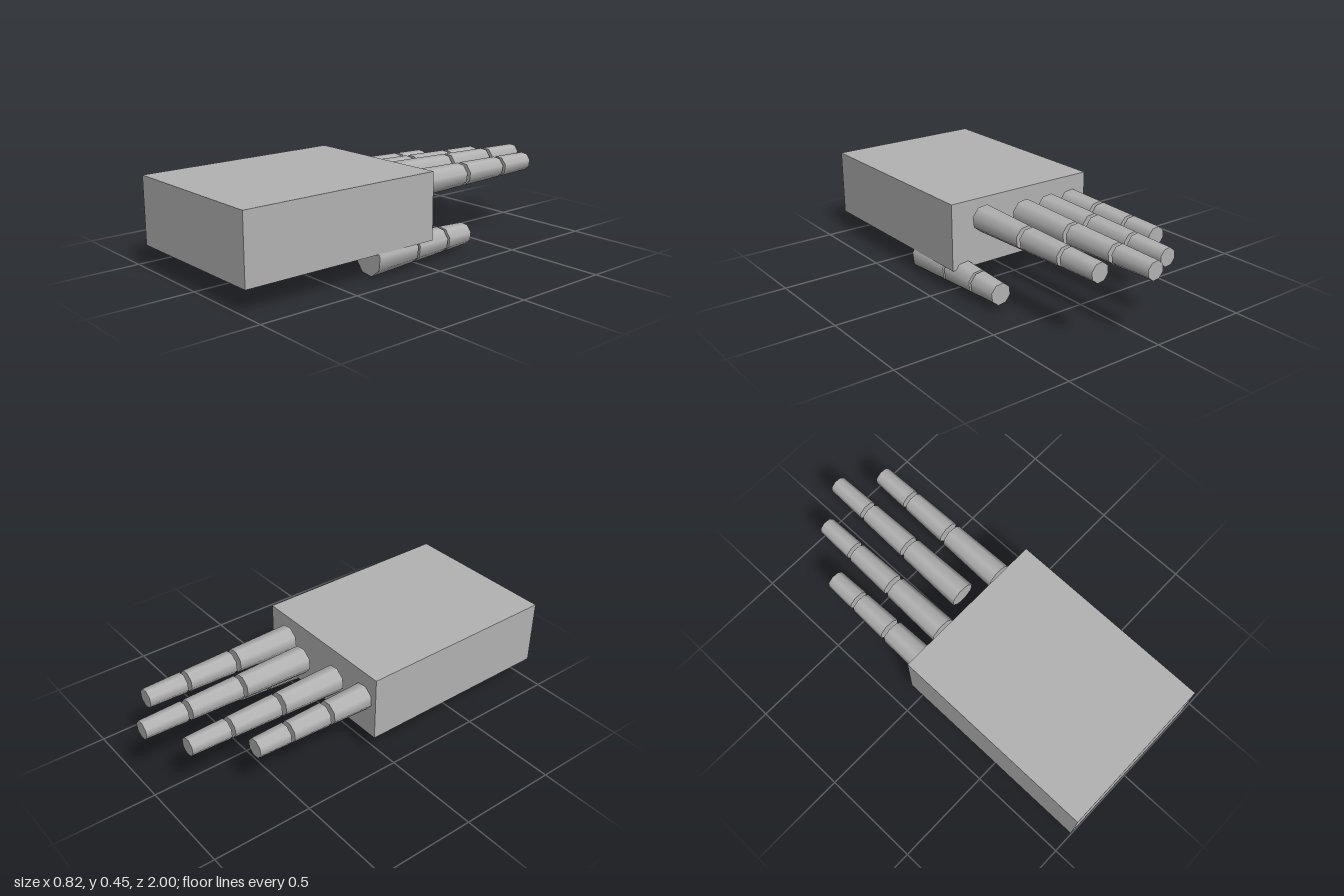
import * as THREE from 'three';

const grey = new THREE.MeshStandardMaterial({ color: 0xb3b3b3 });
grey.name = 'plain grey';

// Each digit: centre x and y, base and tip radius, and [start, end] z of each segment
const DIGITS = [
  { name: 'thumb', x: 0.329, y: 0.085, r0: 0.085, r1: 0.054,
    parts: [[0.29, 0.042], [0.03, -0.16], [-0.174, -0.327]] },
  { name: 'indexFinger', x: 0.233, y: 0.355, r0: 0.067, r1: 0.047,
    parts: [[-0.07, -0.39], [-0.412, -0.658], [-0.677, -0.873]] },
  { name: 'middleFinger', x: 0.042, y: 0.357, r0: 0.068, r1: 0.045,
    parts: [[-0.13, -0.48], [-0.5, -0.767], [-0.788, -1]] },
  { name: 'ringFinger', x: -0.148, y: 0.33, r0: 0.068, r1: 0.045,
    parts: [[-0.08, -0.4], [-0.422, -0.67], [-0.688, -0.886]] },
  { name: 'littleFinger', x: -0.316, y: 0.312, r0: 0.067, r1: 0.048,
    parts: [[-0.01, -0.255], [-0.275, -0.472], [-0.49, -0.652]] },
];

// Eight-sided tapered segments pointing to -z, separated by narrow gaps
function makeDigit({ name, x, y, r0, r1, parts }) {
  const digit = new THREE.Group();
  digit.name = name;
  digit.position.set(x, y, 0);
  const base = parts[0][0];
  const tip = parts[parts.length - 1][1];
  const radiusAt = (z) => THREE.MathUtils.mapLinear(z, base, tip, r0, r1);
  parts.forEach(([start, end], i) => {
    const geometry = new THREE.CylinderGeometry(radiusAt(end), radiusAt(start), start - end, 8);
    geometry.rotateX(-Math.PI / 2);
    geometry.rotateZ(THREE.MathUtils.degToRad(15.5));
    const segment = new THREE.Mesh(geometry, grey);
    segment.name = `${name}Segment${i + 1}`;
    segment.position.z = (start + end) / 2;
    digit.add(segment);
  });
  return digit;
}

export function createModel() {
  const model = new THREE.Group();
  model.name = 'blockHand';

  // Palm block
  const palm = new THREE.Mesh(new THREE.BoxGeometry(0.808, 0.331, 1.047), grey);
  palm.name = 'palm';
  palm.position.set(-0.005, 0.2845, 0.4765);
  model.add(palm);

  // Thumb and fingers
  DIGITS.forEach((d) => model.add(makeDigit(d)));
  return model;
}
